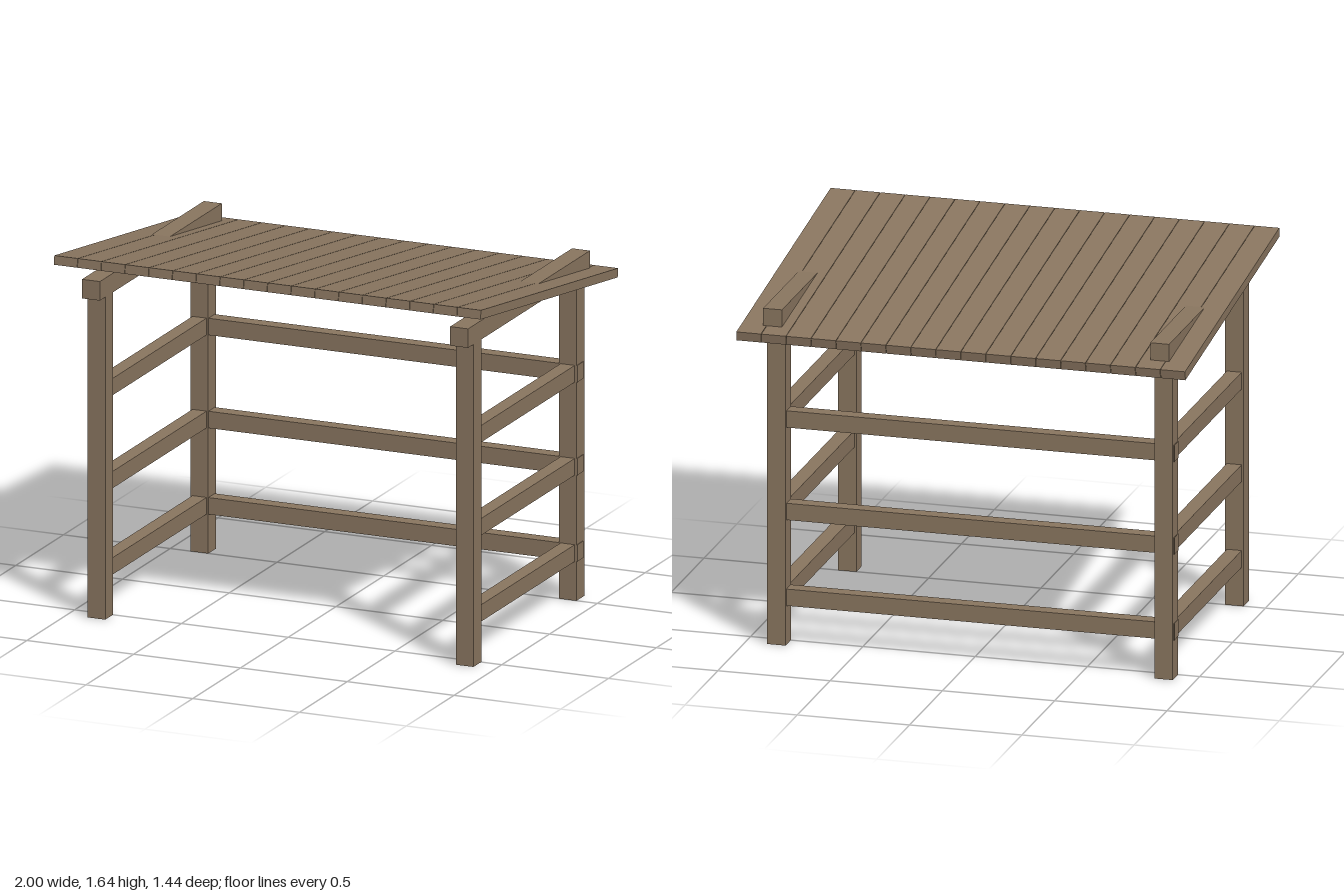
import * as THREE from 'three';

export function createModel() {
  const group = new THREE.Group();
  const wood = new THREE.MeshStandardMaterial({ color: 0x8a7660 });
  wood.name = 'weathered wood';

  function addBox(name, w, h, d, x, y, z, parent = group) {
    const mesh = new THREE.Mesh(new THREE.BoxGeometry(w, h, d), wood);
    mesh.name = name;
    mesh.position.set(x, y, z);
    parent.add(mesh);
    return mesh;
  }

  const postX = 0.862, postZ = 0.539, postHeight = 1.44;
  const railHeights = [0.212, 0.597, 1.012];

  for (const [side, s] of [['left', 1], ['right', -1]]) {
    // Corner posts
    addBox(side + 'FrontPost', 0.082, postHeight, 0.082, s * postX, postHeight / 2, postZ);
    addBox(side + 'BackPost', 0.082, postHeight, 0.082, s * postX, postHeight / 2, -postZ);
    // Level beam across the post tops
    addBox(side + 'TopBeam', 0.084, 0.085, 1.276, s * postX, 1.482, 0);
    // Side rails
    for (const y of railHeights) {
      addBox(side + 'SideRail', 0.066, 0.075, 1.05, s * postX, y, 0);
    }
  }

  // Back rails, ending just proud of the posts
  for (const y of railHeights) {
    addBox('backRail', 1.812, 0.075, 0.066, 0, y, -0.533);
  }

  // Sloping plank roof, high at the front
  const roof = new THREE.Group();
  roof.name = 'roof';
  roof.position.y = 1.518;
  roof.rotation.x = -Math.atan2(0.205, 1.437);
  group.add(roof);
  const count = 18, pitch = 2 / count;
  for (let i = 0; i < count; i++) {
    addBox('roofPlank', pitch - 0.002, 0.04, 1.451, -1 + pitch * (i + 0.5), 0, 0, roof);
  }

  return group;
}
